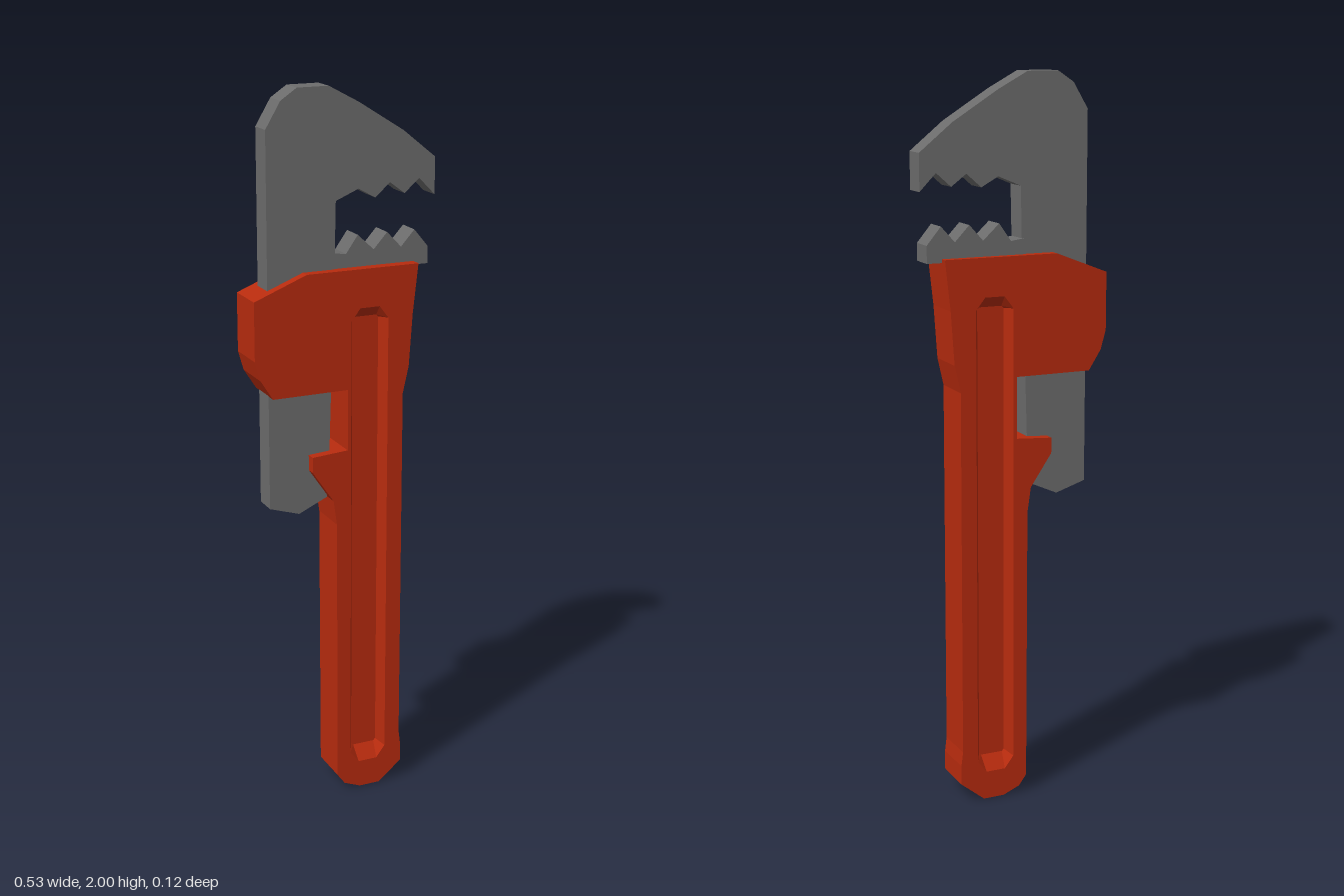
import * as THREE from 'three';

const red = new THREE.MeshStandardMaterial({ color: 0xb72b0e, flatShading: true });
const steel = new THREE.MeshStandardMaterial({ color: 0x6c6c6c, flatShading: true });

const toVectors = (points) => points.map(([x, y]) => new THREE.Vector2(x, y));

// Flat plate cut from an outline, spanning zBack to zFront
function plate(name, outline, zBack, zFront, material, hole) {
  const shape = new THREE.Shape(toVectors(outline));
  if (hole) shape.holes.push(new THREE.Path(toVectors(hole)));
  const geometry = new THREE.ExtrudeGeometry(shape, { depth: zFront - zBack, bevelEnabled: false });
  geometry.translate(0, 0, zBack);
  const mesh = new THREE.Mesh(geometry, material);
  mesh.name = name;
  return mesh;
}

// Rectangle with clipped corners, anticlockwise, centred on x = 0
function clippedRect(half, bottom, top, cutX, cutY) {
  return [
    [-half + cutX, bottom], [half - cutX, bottom],
    [half, bottom + cutY], [half, top - cutY],
    [half - cutX, top], [-half + cutX, top],
    [-half, top - cutY], [-half, bottom + cutY],
  ];
}

// Sloping walls and floor of the handle groove
function recessGeometry(rim, floor, zRim, zFloor) {
  const positions = [];
  const at = (ring, i, z) => [...ring[i % ring.length], z];
  for (let i = 0; i < rim.length; i++) {
    const a = at(rim, i, zRim), b = at(rim, i + 1, zRim);
    const c = at(floor, i + 1, zFloor), d = at(floor, i, zFloor);
    positions.push(...a, ...b, ...c, ...a, ...c, ...d);
    if (i > 0 && i < rim.length - 1) {
      positions.push(...at(floor, 0, zFloor), ...d, ...c);
    }
  }
  const geometry = new THREE.BufferGeometry();
  geometry.setAttribute('position', new THREE.Float32BufferAttribute(positions, 3));
  geometry.computeVertexNormals();
  return geometry;
}

export function createModel() {
  const group = new THREE.Group();
  group.name = 'pipeWrench';

  const halfDepth = 0.06;
  const grooveX = 0.064;
  const rim = clippedRect(0.054, 0.08, 1.42, 0.026, 0.034);
  const floor = clippedRect(0.038, 0.12, 1.39, 0.006, 0.006);

  // Handle with its head housing and spur
  const handle = [
    [0.04, 0], [0.1, 0], [0.168, 0.055], [0.168, 0.11], [0.163, 0.15],
    [0.163, 1.17], [0.18, 1.245], [0.19, 1.39], [0.205, 1.525],
    [-0.117, 1.525], [-0.265, 1.467], [-0.265, 1.308], [-0.25, 1.255],
    [-0.215, 1.2], [0, 1.2], [0, 1.03], [-0.103, 1.023], [-0.103, 0.98],
    [-0.042, 0.89], [-0.032, 0.82], [-0.03, 0.05], [-0.008, 0.02],
  ];
  const grooveHole = rim.map(([x, y]) => [x + grooveX, y]);
  group.add(plate('handle', handle, -halfDepth, halfDepth, red, grooveHole));

  // Groove on the front and back of the handle
  const grooveGeometry = recessGeometry(rim, floor, halfDepth, 0.03);
  for (const [name, angle] of [['frontGroove', 0], ['backGroove', Math.PI]]) {
    const groove = new THREE.Mesh(grooveGeometry, red);
    groove.name = name;
    groove.position.x = grooveX;
    groove.rotation.y = angle;
    group.add(groove);
  }

  // Hooked jaw with the long shank sliding through the head
  const hookJaw = [
    [-0.217, 0.885], [-0.132, 0.858], [-0.05, 0.895], [-0.042, 1.03],
    [-0.026, 1.56], [-0.023, 1.705], [0.042, 1.732], [0.09, 1.705],
    [0.132, 1.742], [0.175, 1.71], [0.217, 1.747], [0.263, 1.7],
    [0.263, 1.8], [0.17, 1.875], [0.042, 1.955], [-0.042, 2],
    [-0.13, 2], [-0.175, 1.97], [-0.217, 1.9],
  ];
  group.add(plate('hookJaw', hookJaw, -0.033, 0.033, steel));

  // Toothed heel jaw seated on the head
  const heelJaw = [
    [-0.03, 1.515], [0.247, 1.515], [0.247, 1.562], [0.207, 1.61],
    [0.168, 1.567], [0.127, 1.61], [0.088, 1.567], [0.042, 1.61],
    [0.008, 1.562], [-0.03, 1.567],
  ];
  group.add(plate('heelJaw', heelJaw, -0.039, 0.029, steel));

  return group;
}
